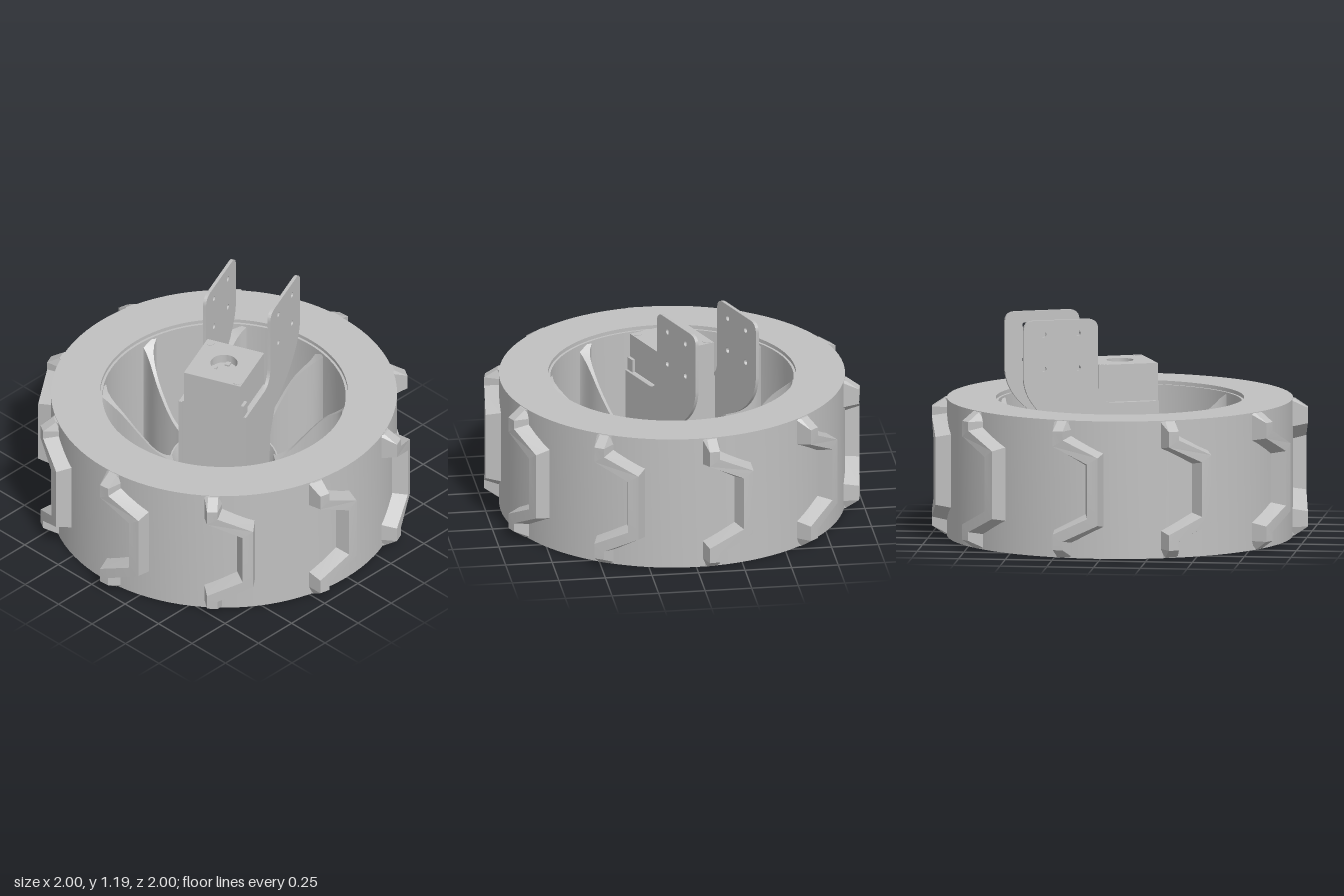
import * as THREE from 'three';
import { toCreasedNormals } from 'three/addons/utils/BufferGeometryUtils.js';

const V2 = (x, y) => new THREE.Vector2(x, y);
const grey = new THREE.MeshStandardMaterial({ color: 0xc0c0c0 });
grey.name = 'plain grey';

function add(parent, name, geometry, x = 0, y = 0, z = 0) {
  const mesh = new THREE.Mesh(geometry, grey);
  mesh.name = name;
  mesh.position.set(x, y, z);
  parent.add(mesh);
  return mesh;
}

// Skin a row of four-cornered cross-sections and close both ends
function loft(rings, crease) {
  const pos = [];
  const quad = (a, b, c, d) => [a, b, c, a, c, d].forEach((p) => pos.push(...p));
  for (let i = 0; i < rings.length - 1; i++) {
    const A = rings[i], B = rings[i + 1];
    for (let j = 0; j < 4; j++) {
      const k = (j + 1) % 4;
      quad(A[j], B[j], B[k], A[k]);
    }
  }
  quad(...rings[0]);
  quad(...[...rings[rings.length - 1]].reverse());
  const g = new THREE.BufferGeometry();
  g.setAttribute('position', new THREE.Float32BufferAttribute(pos, 3));
  g.computeVertexNormals();
  return toCreasedNormals(g, crease);
}

// Mitred sideways vectors along a flat path
function sideways(path) {
  const left = path.slice(1).map((p, i) => {
    const d = p.clone().sub(path[i]).normalize();
    return V2(d.y, -d.x);
  });
  return path.map((_, i) => {
    const a = left[Math.max(i - 1, 0)], b = left[Math.min(i, left.length - 1)];
    return a.clone().add(b).divideScalar(1 + a.dot(b));
  });
}

function lathe(points, segments = 96) {
  return toCreasedNormals(new THREE.LatheGeometry(points.map((p) => V2(...p)), segments), 0.5);
}

function hole(shape, x, y, r) {
  const h = new THREE.Path();
  h.absarc(x, y, r, 0, Math.PI * 2, true);
  shape.holes.push(h);
}

function extrude(shape, depth) {
  return toCreasedNormals(
    new THREE.ExtrudeGeometry(shape, { depth, bevelEnabled: false, curveSegments: 24 }), 0.5);
}

// Bracket-shaped tread lug wrapped round the tyre: angle, height, outer radius
function lugGeometry() {
  const half = [[-0.225, 0.737, 0.93], [-0.225, 0.69, 1], [-0.225, 0.625, 1], [-0.035, 0.535, 1]];
  const rows = [...half, ...half.map(([a, y, r]) => [a, 0.742 - y, r]).reverse()];
  const path = rows.map(([a, y]) => V2(a, y));
  const side = sideways(path);
  const rings = rows.map(([, , r], i) => {
    const at = (w, rad) => {
      const p = path[i].clone().addScaledVector(side[i], w);
      return [rad * Math.sin(p.x), p.y, rad * Math.cos(p.x)];
    };
    return [at(0.056, 0.905), at(0.028, r), at(-0.028, r), at(-0.056, 0.905)];
  });
  return loft(rings, 0.2);
}

// Curved spoke with flared ends and a top edge that climbs to the rim
function spokeGeometry() {
  const curve = new THREE.SplineCurve(
    [V2(0, 0.27), V2(0.012, 0.36), V2(0.008, 0.44), V2(-0.015, 0.53), V2(-0.08, 0.65)]);
  const path = curve.getPoints(20);
  const side = sideways(path);
  const rings = path.map((p, i) => {
    const t = i / 20;
    const w = 0.009 + 0.04 * Math.pow(Math.abs(2 * t - 1), 6);
    const top = 0.3 + 0.41 * Math.pow(t, 1.3);
    const at = (s, y) => {
      const q = p.clone().addScaledVector(side[i], s * w);
      return [q.x, y, q.y];
    };
    return [at(-1, 0.003), at(-1, top), at(1, top), at(1, 0.003)];
  });
  return loft(rings, 0.6);
}

// Side bracket: motor foot panel rising into a drilled rounded plate
function bracketGeometry() {
  const s = new THREE.Shape();
  s.moveTo(-0.16, 0.12);
  s.lineTo(0.16, 0.12);
  s.lineTo(0.17, 0.4);
  s.lineTo(0.24, 0.55);
  s.quadraticCurveTo(0.57, 0.68, 0.585, 0.88);
  s.lineTo(0.585, 1.14);
  s.quadraticCurveTo(0.585, 1.195, 0.525, 1.195);
  s.lineTo(0.235, 1.195);
  s.quadraticCurveTo(0.175, 1.195, 0.175, 1.14);
  s.lineTo(0.175, 0.83);
  s.quadraticCurveTo(0.17, 0.75, 0.1, 0.74);
  s.lineTo(-0.16, 0.74);
  for (const u of [0.285, 0.475]) for (const y of [0.935, 1.12]) hole(s, u, y, 0.015);
  return extrude(s, 0.018);
}

export function createModel() {
  const model = new THREE.Group();
  model.name = 'wheelWithMotor';

  // Tyre and the thin rim lining
  add(model, 'tyre', lathe([[0.66, 0.002], [0.92, 0.002], [0.92, 0.74], [0.66, 0.74], [0.66, 0.002]]));
  add(model, 'rim', lathe([[0.647, 0.004], [0.665, 0.004], [0.665, 0.72], [0.647, 0.72], [0.647, 0.004]]));

  // Ten tread lugs
  const lug = lugGeometry();
  for (let i = 0; i < 10; i++) add(model, 'treadLug', lug).rotation.y = i * Math.PI / 5;

  // Eight spokes
  const spoke = spokeGeometry();
  for (let i = 0; i < 8; i++) add(model, 'spoke', spoke).rotation.y = i * Math.PI / 4;

  // Cup-shaped hub, funnelled inside, with a drilled face underneath
  add(model, 'hub', lathe([[0, 0.03], [0.288, 0.03], [0.288, 0.3], [0.28, 0.3], [0.215, 0.12], [0, 0.12]], 48));
  const face = new THREE.Shape();
  face.absarc(0, 0, 0.29, 0, Math.PI * 2, false);
  hole(face, 0, 0, 0.08);
  for (let i = 0; i < 6; i++) {
    const a = i * Math.PI / 3 + 0.5;
    hole(face, 0.18 * Math.cos(a), 0.18 * Math.sin(a), 0.013);
  }
  add(model, 'hubFace', extrude(face, 0.03), 0, 0.002, 0).rotation.x = -Math.PI / 2;
  add(model, 'axleEnd', new THREE.CylinderGeometry(0.04, 0.04, 0.03, 24), 0, 0.018, 0);

  // Motor, turned with its bracket
  const motor = new THREE.Group();
  motor.name = 'motor';
  motor.rotation.y = THREE.MathUtils.degToRad(22);
  model.add(motor);
  add(motor, 'motorBody', new THREE.BoxGeometry(0.3, 0.63, 0.352), 0, 0.425, 0);
  add(motor, 'motorHead', new THREE.BoxGeometry(0.326, 0.15, 0.326), 0, 0.815, 0);
  add(motor, 'motorFoot', new THREE.BoxGeometry(0.05, 0.08, 0.03), -0.135, 0.77, 0.165);

  // Head cap with a round socket and drive teeth
  const cap = new THREE.Shape([V2(-0.163, -0.163), V2(0.163, -0.163), V2(0.163, 0.163), V2(-0.163, 0.163)]);
  hole(cap, 0, 0, 0.072);
  add(motor, 'motorCap', extrude(cap, 0.05), 0, 0.89, 0).rotation.x = -Math.PI / 2;
  for (let i = 0; i < 4; i++) {
    const a = i * Math.PI / 2;
    add(motor, 'driveTooth', new THREE.BoxGeometry(0.03, 0.01, 0.025),
      0.055 * Math.cos(a), 0.894, 0.055 * Math.sin(a)).rotation.y = -a;
  }

  // Cap bolts and both side brackets
  const bracket = bracketGeometry();
  for (const s of [-1, 1]) {
    add(motor, 'capBolt', new THREE.CylinderGeometry(0.022, 0.022, 0.01, 16), -0.135 * s, 0.937, 0.135 * s);
    add(motor, 'sideBracket', bracket, 0, 0, s * 0.185 - 0.009);
  }
  return model;
}
